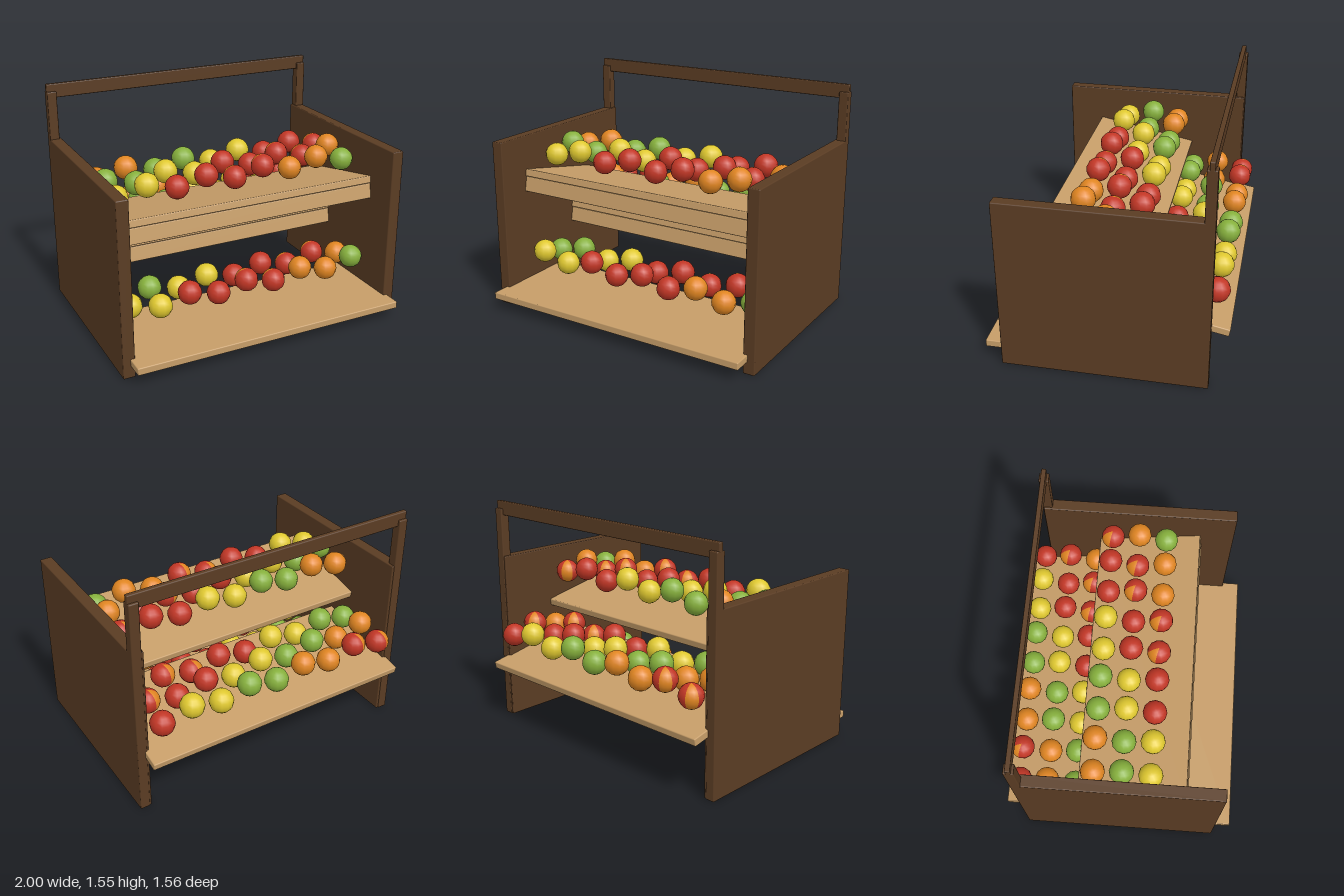
import * as THREE from 'three';
import { RoundedBoxGeometry } from 'three/addons/geometries/RoundedBoxGeometry.js';

export function createModel() {
  const model = new THREE.Group();
  model.name = 'fruitStand';

  const mat = (name, color) => {
    const m = new THREE.MeshStandardMaterial({ color });
    m.name = name;
    return m;
  };
  const darkWood = mat('dark wood', 0x5a3c23);
  const lightWood = mat('light wood', 0xc69d68);
  const red = mat('red', 0xc23625);
  const orange = mat('orange', 0xe08521);
  const yellow = mat('yellow', 0xdfc82f);
  const green = mat('green', 0x86b03c);

  // Slightly eased timber board
  const board = (name, size, pos, material, parent = model) => {
    const mesh = new THREE.Mesh(new RoundedBoxGeometry(...size, 2, 0.007), material);
    mesh.name = name;
    mesh.position.set(...pos);
    parent.add(mesh);
    return mesh;
  };

  // Side panels and rear posts, mirrored
  for (const [side, s] of [['left', 1], ['right', -1]]) {
    board(side + 'Panel', [0.08, 1.17, 1.32], [s * 0.96, 0.585, 0], darkWood);
    board(side + 'Post', [0.065, 1.5, 0.065], [s * 0.9675, 0.75, -0.6335], darkWood);
  }
  // Rail joining the posts
  board('topRail', [2, 0.096, 0.032], [0, 1.503, -0.633], darkWood);

  // Flat bottom shelf
  board('bottomShelf', [1.9, 0.05, 0.71], [0, 0.105, 0.425], lightWood);

  // Tilted upper shelves, each with a beam under the front edge
  for (const [name, y, z] of [['middle', 0.472, -0.423], ['top', 0.838, 0.075]]) {
    const shelf = new THREE.Group();
    shelf.name = name + 'Shelf';
    shelf.position.set(0, y, z);
    shelf.rotation.x = -0.2;
    board(name + 'ShelfBoard', [1.9, 0.05, 0.72], [0, 0, 0], lightWood, shelf);
    board(name + 'ShelfBeam', [1.9, 0.105, 0.05], [0, -0.08, 0.325], lightWood, shelf);
    model.add(shelf);
  }

  // Fruit: plain balls, plus a red one with an orange wedge on its back right
  const R = 0.08, rad = THREE.MathUtils.degToRad;
  const plain = new THREE.SphereGeometry(R, 12, 10);
  const skin = new THREE.SphereGeometry(R, 10, 10, rad(-15), rad(300));
  const blush = new THREE.SphereGeometry(R, 2, 10, rad(-75), rad(60));
  const kinds = [
    ['yellowFruit', [[plain, yellow]]],
    ['redFruit', [[plain, red]]],
    ['blushedFruit', [[skin, red], [blush, orange]]],
    ['orangeFruit', [[plain, orange]]],
    ['greenFruit', [[plain, green]]],
  ];

  // Rows run front to back; pairs of colours shift by one pair in each row
  const displays = [
    { name: 'bottomFruit', y: 0.278, rows: [0.365, 0.18], shift: 0, parity: 1 },
    { name: 'middleFruit', y: 0.63, rows: [-0.31, -0.495, -0.68], shift: 1, parity: 0 },
    { name: 'topFruit', y: 1.0, rows: [0.19, 0.005, -0.18], shift: 0, parity: 0 },
  ];
  for (const d of displays) {
    const group = new THREE.Group();
    group.name = d.name;
    d.rows.forEach((z, r) => {
      for (let c = 0; c < 9; c++) {
        const [name, parts] = kinds[(Math.floor(c / 2) - r - d.shift + 10) % 5];
        const lift = (r + c + d.parity) % 2 ? 0.048 : 0;
        for (const [geometry, material] of parts) {
          const ball = new THREE.Mesh(geometry, material);
          ball.name = name;
          ball.position.set((c - 4) * 0.208, d.y + lift, z);
          group.add(ball);
        }
      }
    });
    model.add(group);
  }

  return model;
}
